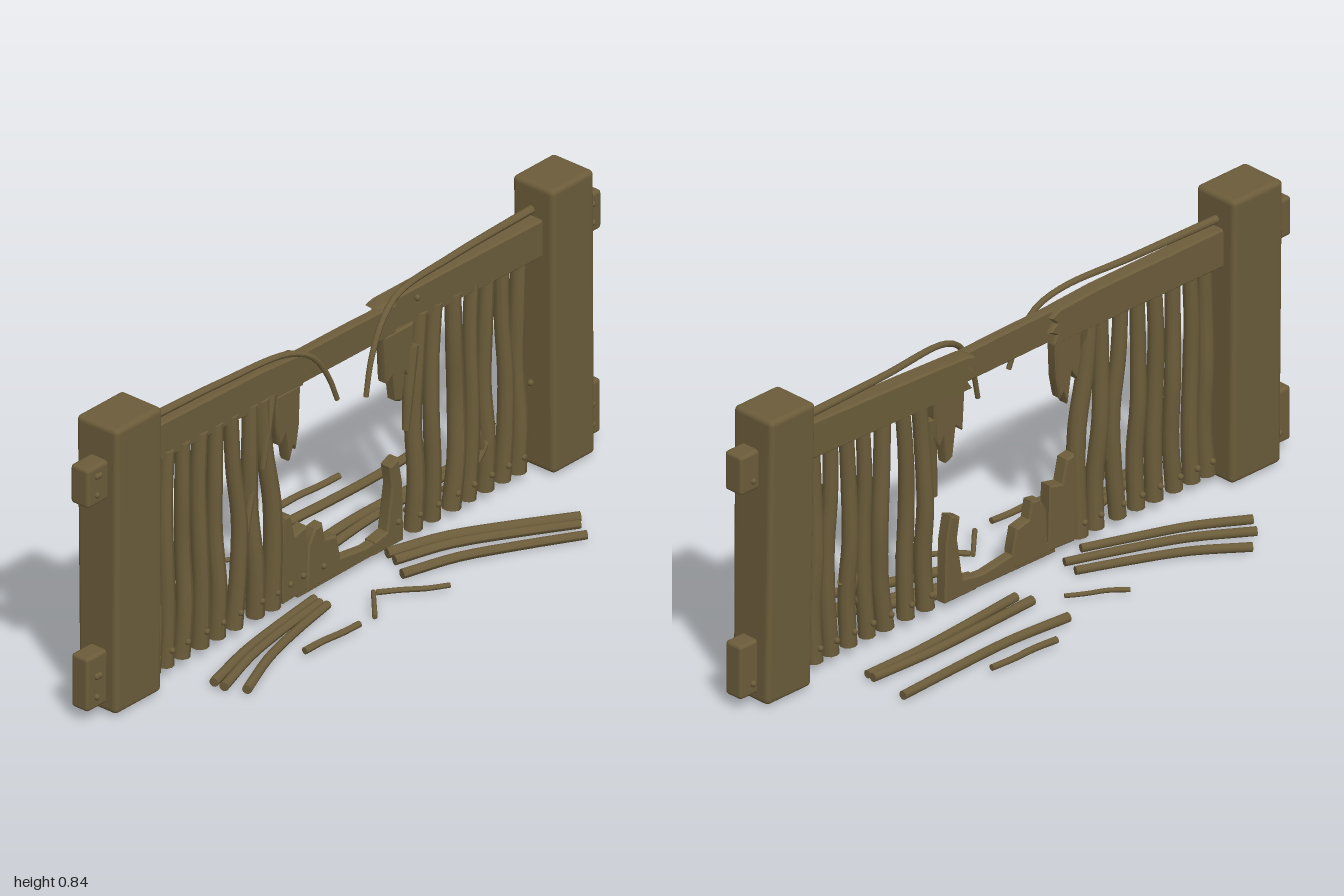
import * as THREE from 'three';
import { RoundedBoxGeometry } from 'three/addons/geometries/RoundedBoxGeometry.js';
import { toCreasedNormals } from 'three/addons/utils/BufferGeometryUtils.js';

const wood = new THREE.MeshStandardMaterial({ color: 0x6b5c3a });
wood.name = 'weathered wood';

export function createModel() {
  const model = new THREE.Group();

  const add = (name, geometry, x = 0, y = 0, z = 0) => {
    const mesh = new THREE.Mesh(geometry, wood);
    mesh.name = name;
    mesh.position.set(x, y, z);
    model.add(mesh);
    return mesh;
  };

  // Round capped stick swept along a curve, thinner or thicker at each end
  const stick = (name, points, r0, r1 = r0, steps = 12) => {
    const curve = new THREE.CatmullRomCurve3(points.map(p => new THREE.Vector3(...p)));
    const geo = new THREE.CylinderGeometry(r1, r0, 1, 10, steps);
    const pos = geo.attributes.position;
    const side = new THREE.Vector3(), other = new THREE.Vector3();
    for (let i = 0; i < pos.count; i++) {
      const t = THREE.MathUtils.clamp(pos.getY(i) + 0.5, 0, 1);
      const tangent = curve.getTangentAt(t);
      const ref = Math.abs(tangent.z) > 0.9 ? new THREE.Vector3(1, 0, 0) : new THREE.Vector3(0, 0, 1);
      side.crossVectors(tangent, ref).normalize();
      other.crossVectors(side, tangent);
      const p = curve.getPointAt(t).addScaledVector(side, pos.getX(i)).addScaledVector(other, pos.getZ(i));
      pos.setXYZ(i, p.x, p.y, p.z);
    }
    geo.computeVertexNormals();
    return add(name, geo);
  };

  // Flat board with a jagged outline and softened edges
  const board = (name, outline, depth, z = 0) => {
    const shape = new THREE.Shape(outline.map(p => new THREE.Vector2(...p)));
    const b = 0.005;
    const geo = new THREE.ExtrudeGeometry(shape, {
      depth: depth - 2 * b, bevelSize: b, bevelThickness: b, bevelOffset: -b, bevelSegments: 1
    });
    geo.translate(0, 0, -depth / 2 + b);
    return add(name, toCreasedNormals(geo, 0.6), 0, 0, z);
  };

  const nail = (x, y, z) => add('nail', new THREE.SphereGeometry(0.009, 8, 6), x, y, z);

  // Posts, widening slightly towards the back at the top
  for (const [name, x, w] of [['rightPost', -0.836, 0.18], ['leftPost', 0.857, 0.163]]) {
    const geo = new RoundedBoxGeometry(w, 0.835, 0.13, 3, 0.014);
    const pos = geo.attributes.position;
    for (let i = 0; i < pos.count; i++) {
      const t = pos.getY(i) / 0.835 + 0.5;
      if (pos.getZ(i) < 0) pos.setZ(i, pos.getZ(i) - 0.012 * t * t);
      pos.setX(i, pos.getX(i) + 0.004 * (t - 0.5) * -Math.sign(x));
    }
    geo.computeVertexNormals();
    add(name, geo, x, 0.4275, -0.002);
  }

  // Rail ends that come out through the posts
  for (const s of [-1, 1]) {
    add('upperRailEnd', new RoundedBoxGeometry(0.12, 0.114, 0.062, 2, 0.01), s * 0.94, 0.692, 0);
    add('lowerRailEnd', new RoundedBoxGeometry(0.12, 0.157, 0.058, 2, 0.01), s * 0.94, 0.114, 0);
    for (const [y, f] of [[0.72, 1], [0.665, -1], [0.13, 1], [0.07, -1]]) {
      nail(s * 0.955, y, 0.03 * f);
      nail(s * 0.965, y, 0.03);
    }
  }

  // Top rail: two outer boards with split ends and a thin board between
  const rightRail = board('rightTopRail', [[-0.76, 0.64], [-0.14, 0.64], [-0.15, 0.665], [-0.125, 0.68],
    [-0.15, 0.7], [-0.13, 0.72], [-0.16, 0.738], [-0.3, 0.747], [-0.76, 0.752]], 0.045, -0.004);
  rightRail.rotation.y = -0.015;
  const leftRail = board('leftTopRail', [[0.78, 0.64], [0.78, 0.75], [0.4, 0.745], [0.19, 0.74], [0.16, 0.73],
    [0.185, 0.71], [0.165, 0.69], [0.19, 0.67], [0.17, 0.64]], 0.05, -0.026);
  leftRail.rotation.y = -0.035;
  board('middleTopRail', [[-0.2, 0.645], [0.22, 0.642], [0.22, 0.73], [0.05, 0.735], [-0.2, 0.738]], 0.03, 0);

  // Thin rods along the rail that snapped and droop into the gap
  stick('rightRod', [[-0.76, 0.772, -0.012], [-0.45, 0.77, 0], [-0.21, 0.762, 0.02], [-0.13, 0.725, 0.035],
    [-0.08, 0.65, 0.045], [-0.052, 0.575, 0.05]], 0.012, 0.007, 28);
  stick('leftRod', [[0.78, 0.768, -0.012], [0.45, 0.768, 0], [0.22, 0.763, 0.02], [0.14, 0.72, 0.035],
    [0.085, 0.63, 0.045], [0.06, 0.535, 0.05]], 0.012, 0.007, 28);

  // Upright poles: x at bottom, middle, top, then radius
  const poles = [
    [-0.72, -0.712, -0.71, 0.024], [-0.665, -0.668, -0.658, 0.023], [-0.603, -0.592, -0.597, 0.023],
    [-0.53, -0.537, -0.53, 0.024], [-0.465, -0.468, -0.468, 0.023], [-0.398, -0.382, -0.41, 0.023],
    [-0.315, -0.33, -0.335, 0.024], [-0.255, -0.255, -0.295, 0.026],
    [0.3, 0.305, 0.325, 0.024], [0.372, 0.365, 0.385, 0.023], [0.448, 0.472, 0.455, 0.025],
    [0.512, 0.522, 0.528, 0.022], [0.58, 0.578, 0.588, 0.023], [0.645, 0.655, 0.645, 0.023],
    [0.705, 0.705, 0.712, 0.024]
  ];
  poles.forEach(([a, b, c, r], i) => {
    stick('pole', [[a, 0.03, 0], [(a + b) / 2 + 0.004, 0.18, 0.004], [b, 0.34, i % 2 ? 0.005 : -0.005],
      [(b + c) / 2 - 0.004, 0.5, 0], [c, 0.66, 0]], r * 1.05, r * 0.88, 14);
    nail(a, 0.08, 0.024);
    nail(a, 0.075, -0.024);
  });
  nail(0.735, 0.285, 0.02);
  nail(0.3, 0.715, 0.015);

  // Splinters split off the poles
  stick('splinter', [[-0.375, 0.21, 0.005], [-0.365, 0.3, 0.01], [-0.335, 0.42, 0.01]], 0.014, 0.008);
  stick('splinter', [[-0.262, 0.66, 0], [-0.285, 0.55, 0.01], [-0.298, 0.46, 0.012]], 0.022, 0.008);
  stick('splinter', [[0.285, 0.58, 0.005], [0.268, 0.44, 0.01], [0.262, 0.34, 0.008]], 0.022, 0.01);
  stick('splinter', [[0.6, 0.22, 0.005], [0.565, 0.17, 0.012], [0.525, 0.12, 0.012]], 0.012, 0.008);
  stick('splinter', [[0.512, 0.26, 0.008], [0.545, 0.2, 0.012], [0.56, 0.14, 0.01]], 0.012, 0.008);

  // Broken boards around the gap
  board('brokenUpperBoard', [[-0.25, 0.65], [-0.25, 0.56], [-0.235, 0.5], [-0.215, 0.53], [-0.2, 0.44],
    [-0.185, 0.48], [-0.175, 0.465], [-0.16, 0.53], [-0.155, 0.65]], 0.035);
  board('brokenUpperBoard', [[0.17, 0.65], [0.18, 0.51], [0.205, 0.53], [0.215, 0.445], [0.24, 0.435],
    [0.25, 0.52], [0.265, 0.49], [0.28, 0.52], [0.285, 0.65]], 0.035);
  board('brokenLowerBoard', [[-0.225, 0.03], [-0.235, 0.18], [-0.225, 0.285], [-0.195, 0.28], [-0.18, 0.215],
    [-0.135, 0.225], [-0.13, 0.035]], 0.04);
  board('brokenLowerBoard', [[-0.13, 0.03], [-0.125, 0.16], [-0.1, 0.2], [-0.07, 0.205], [-0.06, 0.155],
    [-0.015, 0.145], [0.0, 0.08], [-0.005, 0.03]], 0.036);
  board('brokenLowerBoard', [[0.13, 0.025], [0.13, 0.065], [0.18, 0.075], [0.2, 0.2], [0.19, 0.26],
    [0.225, 0.275], [0.24, 0.2], [0.245, 0.025]], 0.038);
  board('bottomStrip', [[-0.16, 0.02], [0.2, 0.025], [0.2, 0.068], [0.1, 0.06], [-0.01, 0.075], [-0.16, 0.06]], 0.03);
  for (const [x, y] of [[-0.2, 0.08], [-0.15, 0.085], [-0.07, 0.08], [0.22, 0.09]]) nail(x, y, 0.02);

  // Fallen sticks on the ground: start x z, end x z, bow in z, radius
  const fallen = [
    [-0.545, -0.345, -0.13, -0.115, 0.02, 0.013], [-0.61, -0.295, -0.14, -0.065, 0.02, 0.013],
    [-0.645, -0.245, -0.22, -0.045, 0.015, 0.013], [-0.16, -0.285, -0.015, -0.192, 0.003, 0.007],
    [0.06, -0.28, 0.66, -0.28, 0.012, 0.014], [0.17, -0.348, 0.395, -0.338, 0, 0.01],
    [0.06, -0.148, 0.645, -0.155, -0.01, 0.014], [0.08, -0.108, 0.645, -0.135, -0.01, 0.013],
    [-0.64, 0.145, -0.135, 0.045, -0.012, 0.013], [-0.635, 0.175, -0.135, 0.065, -0.016, 0.013],
    [-0.61, 0.232, -0.135, 0.09, -0.018, 0.013], [-0.36, 0.21, -0.16, 0.222, 0, 0.01],
    [-0.1, 0.222, -0.002, 0.13, 0, 0.007], [-0.002, 0.14, 0.152, 0.258, 0.006, 0.008],
    [0.17, 0.025, 0.645, 0.27, -0.025, 0.015], [0.16, 0.06, 0.62, 0.292, -0.025, 0.014],
    [0.115, 0.125, 0.585, 0.345, -0.022, 0.014]
  ];
  fallen.forEach(([x0, z0, x1, z1, bow, r], i) => {
    const y = 0.016 + (i % 3) * 0.002;
    stick('fallenStick', [[x0, y, z0], [(x0 * 2 + x1) / 3, y + 0.003, (z0 * 2 + z1) / 3 + bow],
      [(x0 + x1 * 2) / 3, y, (z0 + z1 * 2) / 3 + bow * 0.9], [x1, y + 0.001, z1]], r, r * 0.9);
  });

  return model;
}
